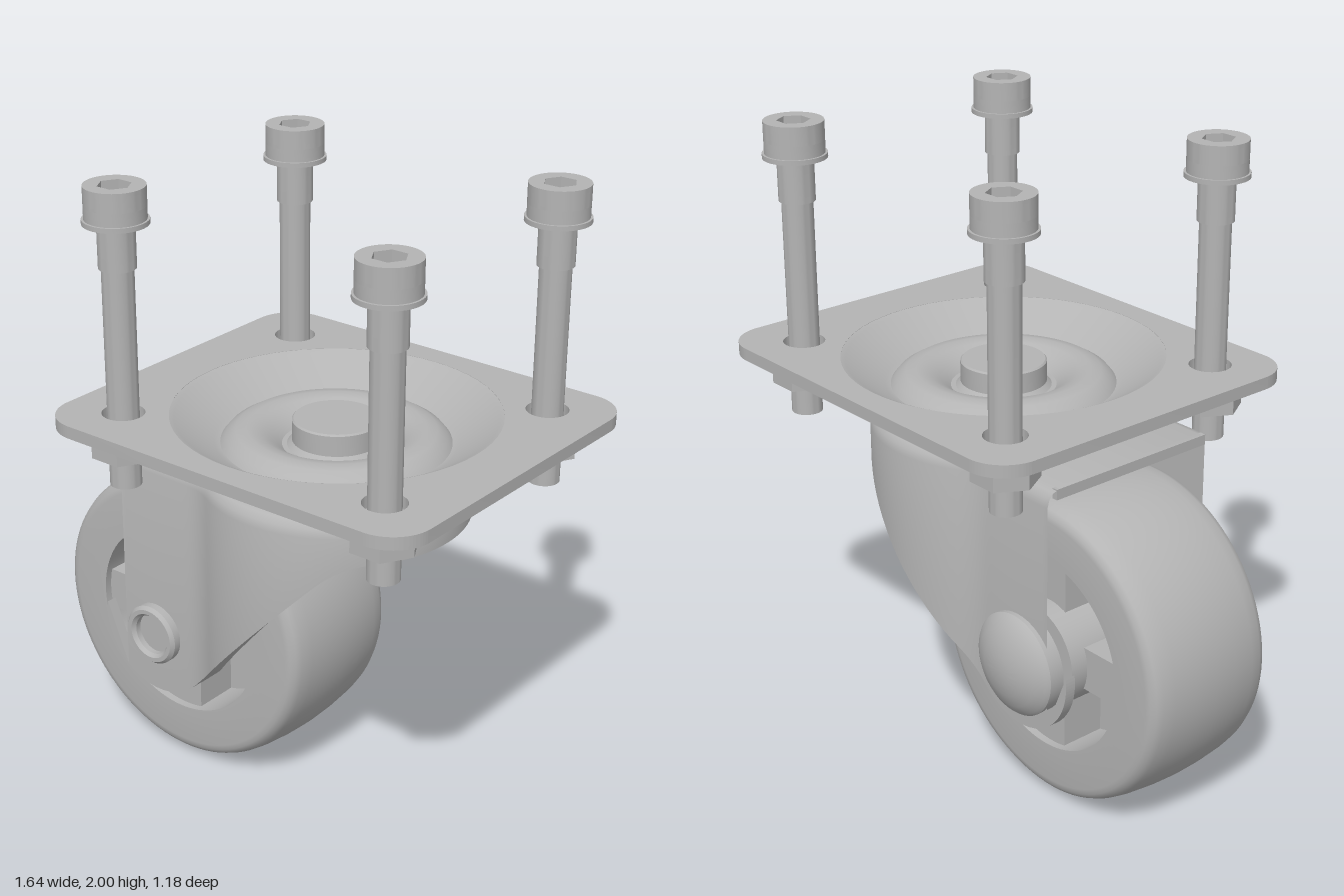
import * as THREE from 'three';
import { toCreasedNormals } from 'three/addons/utils/BufferGeometryUtils.js';

const steel = new THREE.MeshStandardMaterial({ color: 0xb4b4b4 });
steel.name = 'steelGrey';
const SWIVEL_X = 0.143, AXLE_X = -0.315, AXLE_Y = 0.51;

export function createModel() {
  const model = new THREE.Group();
  model.name = 'swivelCaster';

  const add = (name, geo, parent = model, x = 0, y = 0, z = 0) => {
    const m = new THREE.Mesh(toCreasedNormals(geo, 0.6), steel);
    m.name = name;
    m.position.set(x, y, z);
    parent.add(m);
    return m;
  };
  const lathe = (pts, seg = 64) => new THREE.LatheGeometry(pts.map(p => new THREE.Vector2(...p)), seg);
  const disc = (r, y0, y1, seg = 40) => lathe([[0, y0], [r, y0], [r, y1], [0, y1]], seg);
  const extrude = (shape, depth) => new THREE.ExtrudeGeometry(shape, { depth, bevelEnabled: false, curveSegments: 32 });
  const circle = (x, y, r) => new THREE.Path().absarc(x, y, r, 0, Math.PI * 2, true);

  // Mounting plate with rounded corners, dish opening and bolt holes
  const bolts = [];
  for (const x of [-0.35, 0.63]) for (const z of [-0.41, 0.41]) bolts.push([x, z]);
  const [x0, x1, zw, cr] = [-0.535, 0.82, 0.59, 0.13];
  const plate = new THREE.Shape();
  plate.absarc(x1 - cr, zw - cr, cr, 0, Math.PI / 2);
  plate.absarc(x0 + cr, zw - cr, cr, Math.PI / 2, Math.PI);
  plate.absarc(x0 + cr, cr - zw, cr, Math.PI, Math.PI * 1.5);
  plate.absarc(x1 - cr, cr - zw, cr, Math.PI * 1.5, Math.PI * 2);
  plate.holes.push(circle(SWIVEL_X, 0, 0.505));
  bolts.forEach(([x, z]) => plate.holes.push(circle(x, z, 0.066)));
  add('mountingPlate', extrude(plate, 0.04).rotateX(-Math.PI / 2), model, 0, 1.25, 0);

  // Pressed dish with a raised ring, and the king pin through its centre
  add('swivelDish', lathe([[0, 1.155], [0.375, 1.155], [0.4, 1.163], [0.52, 1.25], [0.507, 1.29], [0.49, 1.283],
    [0.37, 1.2], [0.352, 1.195], [0.335, 1.216], [0.305, 1.234], [0.27, 1.24], [0.235, 1.234], [0.2, 1.215],
    [0.175, 1.195], [0.165, 1.185], [0, 1.185]], 80), model, SWIVEL_X);
  add('kingPin', lathe([[0, 1.04], [0.15, 1.04], [0.15, 1.185], [0.135, 1.2], [0.135, 1.265], [0.13, 1.27], [0, 1.27]]),
    model, SWIVEL_X);

  // Ball bearing ring
  add('lowerRace', disc(0.38, 1.11, 1.127, 64), model, SWIVEL_X);
  for (let i = 0; i < 13; i++) {
    const a = (i / 13) * Math.PI * 2;
    add('bearingBall', new THREE.SphereGeometry(0.07, 20, 12), model,
      SWIVEL_X + Math.cos(a) * 0.27, 1.15, Math.sin(a) * 0.27);
  }

  // Fork yoke: cross-sections swept along a U-shaped plan
  const forkBottom = x => {
    if (x < -0.158) return 0.515 - Math.sqrt(0.215 ** 2 - (x - AXLE_X) ** 2);
    const line = 0.368 + 1.07 * (x + 0.158), u = x - 0.35, d = 0.129;
    if (u < 0) return line;
    return u < d ? line - 1.07 * u * u / (2 * d) : 0.98;
  };
  const plan = [];
  for (let i = 0; i < 14; i++) plan.push([-0.445 + 0.275 * i / 14, 0.335, 0, 1]);
  const bend = new THREE.QuadraticBezierCurve(new THREE.Vector2(-0.17, 0.335),
    new THREE.Vector2(-0.117, 0.335), new THREE.Vector2(-0.067, 0.364));
  for (let i = 0; i < 6; i++) {
    const p = bend.getPoint(i / 6), t = bend.getTangent(i / 6);
    plan.push([p.x, p.y, -t.y, t.x]);
  }
  for (let i = 0; i <= 32; i++) {
    const a = (1 - i / 32) * Math.PI * 2 / 3, c = Math.cos(a), s = Math.sin(a);
    plan.push([SWIVEL_X + 0.42 * c, 0.42 * s, c, s]);
  }
  const mirrored = plan.slice(0, -1).reverse().map(([x, z, nx, nz]) => [x, -z, nx, -nz]);
  const pos = [], index = [], ROWS = 9;
  const path = [...plan, ...mirrored];
  path.forEach(([x, z, nx, nz], i) => {
    const yb = forkBottom(x), cx = Math.min(x, SWIVEL_X);
    const at = (inset, y) => pos.push(x - nx * inset, y, z - nz * inset);
    at(0.035, yb);
    at(0, yb);
    at(0, 1.07);
    at(0.007, 1.095);
    at(0.023, 1.112);
    at(0.05, 1.12);
    pos.push(cx, 1.12, 0, cx, 1.085, 0);
    at(0.035, 1.085);
    if (i === path.length - 1) return;
    for (let j = 0; j < ROWS; j++) {
      const k = (j + 1) % ROWS, a = i * ROWS, b = a + ROWS;
      index.push(a + j, b + j, b + k, a + j, b + k, a + k);
    }
  });
  const yoke = new THREE.BufferGeometry();
  yoke.setAttribute('position', new THREE.Float32BufferAttribute(pos, 3));
  yoke.setIndex(index);
  add('forkYoke', yoke);
  add('forkRearEdge', new THREE.BoxGeometry(0.02, 0.033, 0.6), model, -0.436, 1.1025, 0);

  // Slanted rear edge and rounded foot of each fork leg
  const deg = Math.PI / 180;
  const foot = new THREE.Shape();
  foot.moveTo(-0.445, 1.11);
  foot.absarc(AXLE_X, 0.515, 0.215, 171.6 * deg, 232.8 * deg);
  foot.closePath();
  for (const z of [0.3, -0.335]) add('forkLegRear', extrude(foot, 0.035), model, 0, 0, z);

  // Wheel: crowned tyre, thin web, hub and four spokes, turned onto the z axis
  const wheel = new THREE.Group();
  wheel.name = 'wheel';
  wheel.position.set(AXLE_X, AXLE_Y, 0);
  wheel.rotation.x = Math.PI / 2;
  model.add(wheel);
  const half = [[0.506, 0], [0.503, 0.08], [0.495, 0.16], [0.487, 0.2], [0.478, 0.22], [0.462, 0.232], [0.445, 0.235], [0.32, 0.235]];
  const lower = half.slice(1).reverse().map(([r, h]) => [r, -h]);
  add('tyre', lathe([...lower, ...half, [0.32, -0.235]], 96), wheel);
  add('wheelWeb', disc(0.325, -0.06, 0.06, 64), wheel);
  add('wheelHub', disc(0.17, -0.27, 0.27, 48), wheel);
  add('axleSpacer', disc(0.085, -0.302, 0.302), wheel);
  for (let i = 0; i < 4; i++) {
    const a = i * Math.PI / 2;
    add('spoke', new THREE.BoxGeometry(0.18, 0.42, 0.14), wheel,
      Math.cos(a) * 0.235, 0, Math.sin(a) * 0.235).rotation.y = -a;
  }

  // Axle ends: hollow sleeve in front, domed head behind
  add('axleSleeve', lathe([[0, 0.3], [0.1, 0.3], [0.1, 0.36], [0.09, 0.372], [0.076, 0.372], [0.066, 0.36],
    [0.066, 0.335 + 0.006], [0, 0.341]], 40), wheel);
  add('axleHead', lathe([[0, 0.3], [0.165, 0.3], [0.165, 0.35], [0.155, 0.362], [0.125, 0.382], [0.085, 0.398],
    [0.045, 0.407], [0, 0.41]], 48), wheel).rotation.x = Math.PI;

  // Socket-head bolts with washers and hex nuts
  const headShape = new THREE.Shape().absarc(0, 0, 0.093, 0, Math.PI * 2);
  const socket = new THREE.Path();
  for (let i = 0; i < 6; i++) {
    const a = -i * Math.PI / 3;
    socket[i ? 'lineTo' : 'moveTo'](Math.cos(a) * 0.052, Math.sin(a) * 0.052);
  }
  socket.closePath();
  headShape.holes.push(socket);
  for (const [x, z] of bolts) {
    const bolt = new THREE.Group();
    bolt.name = 'bolt';
    bolt.position.set(x, 0, z);
    model.add(bolt);
    add('boltHead', extrude(headShape, 0.06).rotateX(-Math.PI / 2), bolt, 0, 1.94, 0);
    add('boltHeadBase', disc(0.093, 1.9, 1.941), bolt);
    add('boltWasher', disc(0.1, 1.885, 1.9), bolt);
    add('boltCollar', disc(0.057, 1.75, 1.885), bolt);
    add('boltShank', disc(0.049, 1.055, 1.75), bolt);
    add('nutWasher', disc(0.085, 1.232, 1.25), bolt);
    add('nut', new THREE.CylinderGeometry(0.104, 0.104, 0.08, 6).rotateY(Math.PI / 6), bolt, 0, 1.195, 0);
  }
  return model;
}
